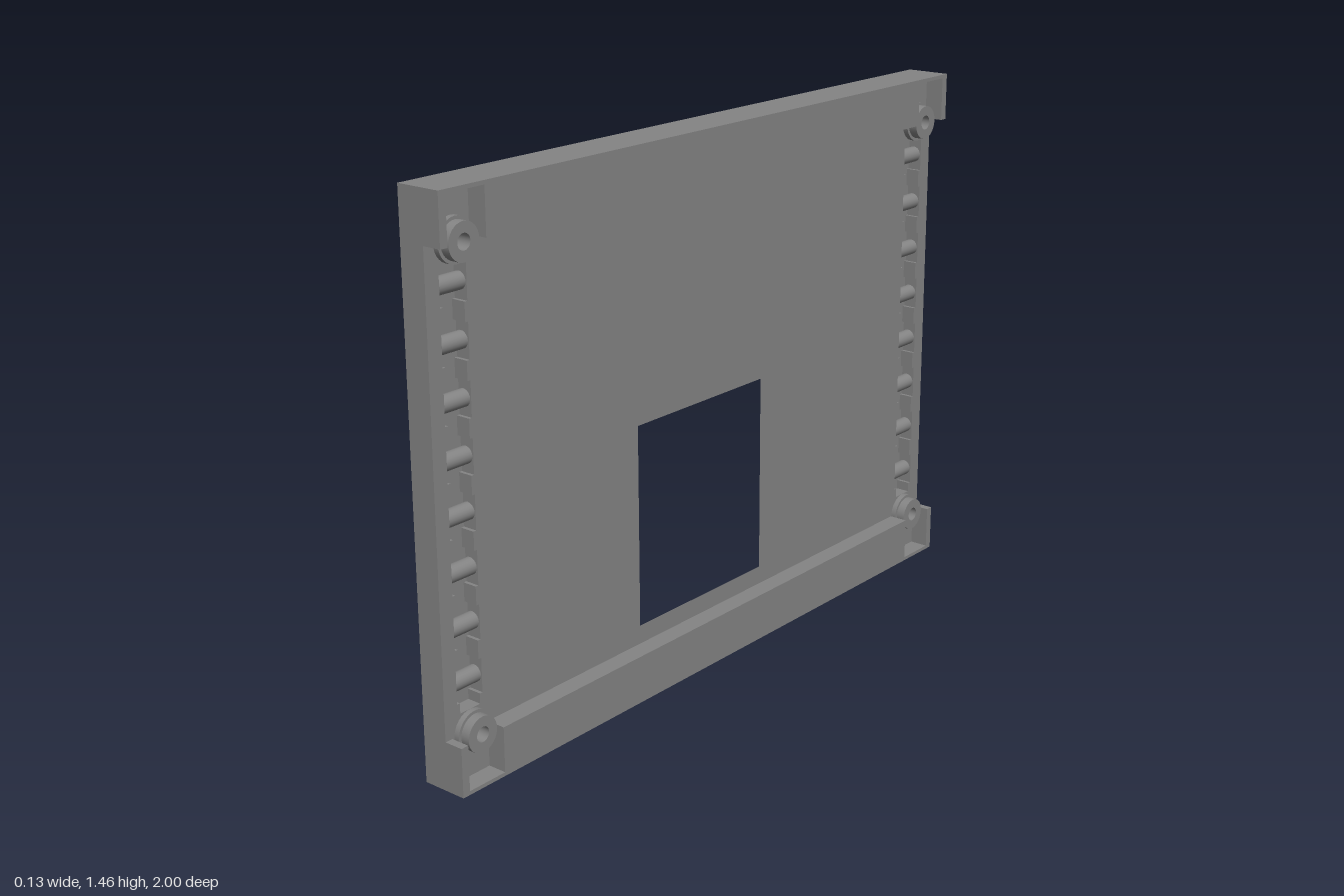
import * as THREE from 'three';

const W = 1, H = 1.46;                       // half length, height
const BACK = -0.063, FLOOR = -0.03, FACE = 0.01, FRONT = 0.063;
const RAIL = 0.13, POST_Z = 0.916;
const PIN = 0.86, POUT = 0.978, PLOW = 0.01; // corner pocket limits
const FIRST = 0.257, PITCH = 0.1383, COUNT = 8;

const path = (pts, Type = THREE.Shape) => new Type(pts.map(p => new THREE.Vector2(...p)));
const flipY = pts => pts.map(([z, y]) => [z, H - y]);

// Flat sheet drawn in the length/height plane, at thickness position x
const sheet = (shape, x) => new THREE.ShapeGeometry(shape).rotateY(Math.PI / 2).translate(x, 0, 0);

// Wall standing on a polyline of the length/height plane, from x0 to x1
function wall(pts, x0, x1) {
  const pos = [];
  for (let i = 0; i < pts.length - 1; i++) {
    const [a, b] = pts[i], [c, d] = pts[i + 1];
    pos.push(x0, b, -a, x1, d, -c, x0, d, -c, x0, b, -a, x1, b, -a, x1, d, -c);
  }
  const geo = new THREE.BufferGeometry();
  geo.setAttribute('position', new THREE.Float32BufferAttribute(pos, 3));
  geo.computeVertexNormals();
  return geo;
}

// Toothed outline of the roller groove near one end
function grooveOutline(side) {
  const edge = [[0.033, 0.185]];
  for (let i = 0; i < COUNT; i++) {
    const y = FIRST + i * PITCH;
    edge.push([0.033, y - 0.045], [0.042, y - 0.045], [0.042, y + 0.045], [0.033, y + 0.045]);
  }
  edge.push([0.033, 1.275]);
  return [
    ...edge.map(([w, y]) => [side * POST_Z + w, y]),
    ...edge.slice().reverse().map(([w, y]) => [side * POST_Z - w, y]),
  ];
}

export function createModel() {
  const group = new THREE.Group();
  const mat = new THREE.MeshStandardMaterial({ color: 0x848484, side: THREE.DoubleSide });
  const add = (name, geo, x = 0, y = 0, z = 0) => {
    const mesh = new THREE.Mesh(geo, mat);
    mesh.name = name;
    mesh.position.set(x, y, z);
    group.add(mesh);
  };

  // Hollow shell: back skin with the window opening
  const windowEdge = [[-0.3, RAIL], [-0.3, 0.73], [0.3, 0.73], [0.3, RAIL]];
  const back = path([[-W, 0], [W, 0], [W, H], [-W, H]]);
  back.holes.push(path(windowEdge, THREE.Path));
  add('backSkin', new THREE.ShapeGeometry(back).rotateY(-Math.PI / 2), BACK);

  // Inner edge of a rail, dropping into the corner pockets
  const pocketLeft = [[-W, RAIL], [-POUT, RAIL], [-POUT, PLOW], [-PIN, PLOW], [-PIN, RAIL]];
  const pocketRight = pocketLeft.map(([z, y]) => [-z, y]).reverse();
  const railEdge = [...pocketLeft, ...pocketRight];

  // Front skin with window and grooves
  const front = path([
    ...pocketLeft, ...windowEdge, ...pocketRight, ...flipY(railEdge).reverse(),
  ]);
  for (const side of [-1, 1]) {
    const outline = grooveOutline(side);
    front.holes.push(path(outline, THREE.Path));
    add('grooveFloor', sheet(path(outline), FLOOR));
    add('grooveWall', wall([...outline, outline[0]], FLOOR, FACE));
  }
  add('frontSkin', sheet(front, FACE));

  // Raised rails along the bottom and top
  const rail = [[W, 0], [-W, 0], ...railEdge];
  add('bottomRailFace', sheet(path(rail), FRONT));
  add('topRailFace', sheet(path(flipY(rail)), FRONT));
  add('bottomRailWall', wall(railEdge, FACE, FRONT));
  add('topRailWall', wall(flipY(railEdge).reverse(), FACE, FRONT));

  // Top cover, end walls and the bottom covers at the corners (open between)
  const depth = FRONT - BACK;
  add('topCover', new THREE.PlaneGeometry(depth, 2 * W).rotateX(-Math.PI / 2), 0, H);
  const end = path([
    [BACK, 0], [FRONT, 0], [FRONT, RAIL], [FACE, RAIL],
    [FACE, H - RAIL], [FRONT, H - RAIL], [FRONT, H], [BACK, H],
  ]);
  for (const side of [-1, 1]) {
    add('endWall', new THREE.ShapeGeometry(end), 0, 0, side * W);
    const cover = new THREE.PlaneGeometry(depth, W - PIN).rotateX(Math.PI / 2);
    add('bottomCover', cover, 0, 0, side * (W + PIN) / 2);
  }

  // Stepped hollow posts and the rollers between them
  const postProfile = [
    [0.055, 0], [0.055, 0.015], [0.055, 0.015], [0.047, 0.015], [0.047, 0.015],
    [0.047, 0.04], [0.047, 0.04], [0.02, 0.04], [0.02, 0.04], [0.02, 0],
  ].map(p => new THREE.Vector2(...p));
  const post = new THREE.LatheGeometry(postProfile, 32).rotateZ(-Math.PI / 2);
  const roller = new THREE.CylinderGeometry(0.022, 0.022, 0.08, 20).rotateX(Math.PI / 2);
  for (const side of [-1, 1]) {
    for (const y of [RAIL, H - RAIL]) add('post', post, FACE, y, side * POST_Z);
    for (let i = 0; i < COUNT; i++) {
      add('roller', roller, -0.013, FIRST + i * PITCH, side * POST_Z);
    }
  }
  return group;
}
